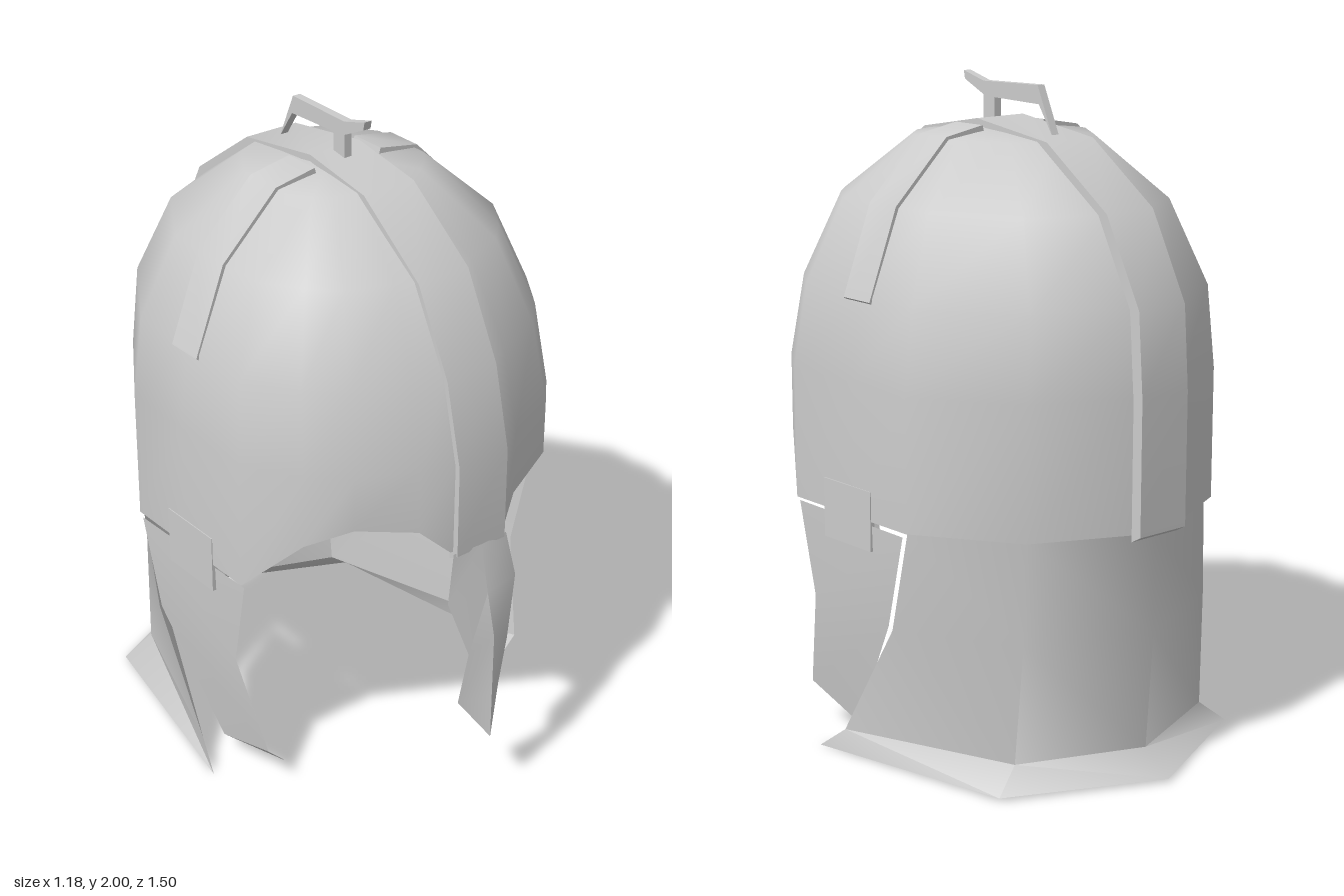
import * as THREE from 'three';
import { mergeVertices, toCreasedNormals } from 'three/addons/utils/BufferGeometryUtils.js';

const material = new THREE.MeshStandardMaterial({ color: 0xcccccc, side: THREE.DoubleSide });

// Skin a grid of points (equal-length rows of [x, y, z]), welded for smooth normals
function skin(name, rows, crease = 0) {
  const n = rows[0].length, index = [];
  for (let r = 0; r < rows.length - 1; r++) {
    for (let c = 0; c < n - 1; c++) {
      const a = r * n + c, b = a + n;
      index.push(a, b, a + 1, a + 1, b, b + 1);
    }
  }
  let geo = new THREE.BufferGeometry();
  geo.setAttribute('position', new THREE.Float32BufferAttribute(rows.flat(2), 3));
  geo.setIndex(index);
  geo = mergeVertices(geo, 1e-4);
  geo.computeVertexNormals();
  if (crease) geo = toCreasedNormals(geo, crease);
  const mesh = new THREE.Mesh(geo, material);
  mesh.name = name;
  return mesh;
}

// Raised strap: a path of [u, y] swept with a rectangular section of half-width w
function strap(name, path, w, place) {
  const rows = path.map(([u, y]) => {
    const iu = u * 0.95, iy = y - 0.02;
    return [[u, y, w], [u, y, -w], [iu, iy, -w], [iu, iy, w], [u, y, w]].map(p => place(...p));
  });
  // close both ends
  const cap = row => row.map((p, i) => row[[0, 1, 1, 0, 0][i]]);
  return skin(name, [cap(rows[0]), ...rows, cap(rows[rows.length - 1])], 0.6);
}

// Mirror a half row (x >= 0) to the other side
const both = row => [...row.map(([x, y, z]) => [-x, y, z]).reverse(), ...row.slice(1)];

export function createModel() {
  const group = new THREE.Group();
  group.name = 'helmet';

  // Dome: plan outline [x, z, bottom edge y] from front centre to back centre
  const outline = [
    [0, 0.667, 0.86], [0.1, 0.66, 0.87], [0.18, 0.615, 0.945], [0.36, 0.545, 0.985],
    [0.46, 0.44, 0.92], [0.565, 0.28, 0.75], [0.565, 0, 0.75], [0.565, -0.24, 0.75],
    [0.37, -0.54, 0.75], [0.09, -0.67, 0.75], [0, -0.69, 0.75],
  ];
  // [y, x scale, front z scale, back z scale]
  const levels = [
    [1.86, 0, 0, 0], [1.83, 0.44, 0.355, 0.43], [1.65, 0.77, 0.72, 0.79],
    [1.4, 0.947, 0.91, 0.975], [1.15, 1, 1, 1], [null, 1, 1, 1],
  ];
  const domeRows = levels.map(([y, sx, sf, sb]) => {
    const half = outline.map(([x, z, low]) => [x * sx, y ?? low, z * (z > 0 ? sf : sb)]);
    return [...half, ...half.map(([x, h, z]) => [-x, h, z]).reverse().slice(1)];
  });
  group.add(skin('dome', domeRows));

  // Strap running from brow to nape over the crown
  group.add(strap('crownStrap', [
    [0.68, 0.86], [0.678, 1.15], [0.617, 1.4], [0.487, 1.65], [0.245, 1.832], [0, 1.875],
    [-0.305, 1.832], [-0.555, 1.655], [-0.688, 1.4], [-0.706, 1.15], [-0.706, 0.75],
  ], 0.09, (u, y, w) => [w, y, u]));

  // Nose guard with a centre ridge: [half-width, edge y, edge z, ridge y, ridge z]
  const nose = [
    [0.1, 0.87, 0.675, 0.87, 0.682], [0.13, 0.72, 0.69, 0.72, 0.716],
    [0.075, 0.54, 0.725, 0.585, 0.75], [0.08, 0.35, 0.69, 0.38, 0.75], [0, 0.225, 0.75, 0.225, 0.75],
  ];
  group.add(skin('noseGuard', nose.map(([w, ey, ez, ry, rz]) =>
    [[-w, ey, ez], [0, ry, rz], [w, ey, ez]]), 0.5));

  // Neck guard: columns front edge, rear corner, back centre
  group.add(skin('neckGuard', [
    [[0, 0.75, -0.675], [0.36, 0.75, -0.52], [0.555, 0.75, -0.235]],
    [[0, 0.44, -0.675], [0.365, 0.44, -0.52], [0.558, 0.44, -0.165]],
    [[0, 0.08, -0.65], [0.38, 0.08, -0.5], [0.565, 0.07, 0.06]],
    [[0, 0.01, -0.747], [0.465, 0.01, -0.53], [0.592, 0, 0.15]],
  ].map(both), 0.9));

  // Narrow ledge closing the step between dome and neck guard
  group.add(skin('napeLedge', [
    [[0, 0.75, -0.69], [0.09, 0.75, -0.67], [0.37, 0.75, -0.54], [0.565, 0.75, -0.24]],
    [[0, 0.75, -0.675], [0.09, 0.75, -0.636], [0.36, 0.75, -0.52], [0.555, 0.75, -0.235]],
  ].map(both)));

  for (const side of [1, -1]) {
    const half = new THREE.Group();
    half.name = side > 0 ? 'leftSide' : 'rightSide';
    half.scale.x = side;

    // Cheek guard with an inward-bent lower lip
    half.add(skin('cheekGuard', [
      [[0.555, 0.737, 0.28], [0.565, 0.737, -0.225]],
      [[0.548, 0.45, 0.22], [0.56, 0.45, -0.15]],
      [[0.5, 0.14, 0.31], [0.5, 0.07, 0.08]],
      [[0.43, 0.07, 0.31], [0.43, 0.04, 0.19]],
    ], 0.6));

    // Hinge plate
    const hinge = new THREE.Mesh(new THREE.BoxGeometry(0.016, 0.18, 0.22), material);
    hinge.name = 'hinge';
    hinge.position.set(0.56, 0.75, 0.03);
    half.add(hinge);

    // Short strap down the side of the dome
    half.add(strap('sideStrap', [[0.12, 1.862], [0.257, 1.838], [0.445, 1.655], [0.545, 1.39]],
      0.06, (u, y, w) => [u, y, w]));
    group.add(half);
  }

  // Crest holder: thin bracket on the crown, drawn in z and y
  const bracket = new THREE.Shape([
    [0.15, 2.0], [0.06, 1.975], [-0.18, 1.98], [-0.245, 1.835], [-0.185, 1.925], [0.01, 1.93],
    [0.01, 1.86], [0.06, 1.86], [0.06, 1.935], [0.145, 1.975],
  ].map(([z, y]) => new THREE.Vector2(-z, y)));
  const crest = new THREE.Mesh(
    new THREE.ExtrudeGeometry(bracket, { depth: 0.026, bevelEnabled: false })
      .translate(0, 0, -0.013).rotateY(Math.PI / 2), material);
  crest.name = 'crestHolder';
  group.add(crest);

  return group;
}
